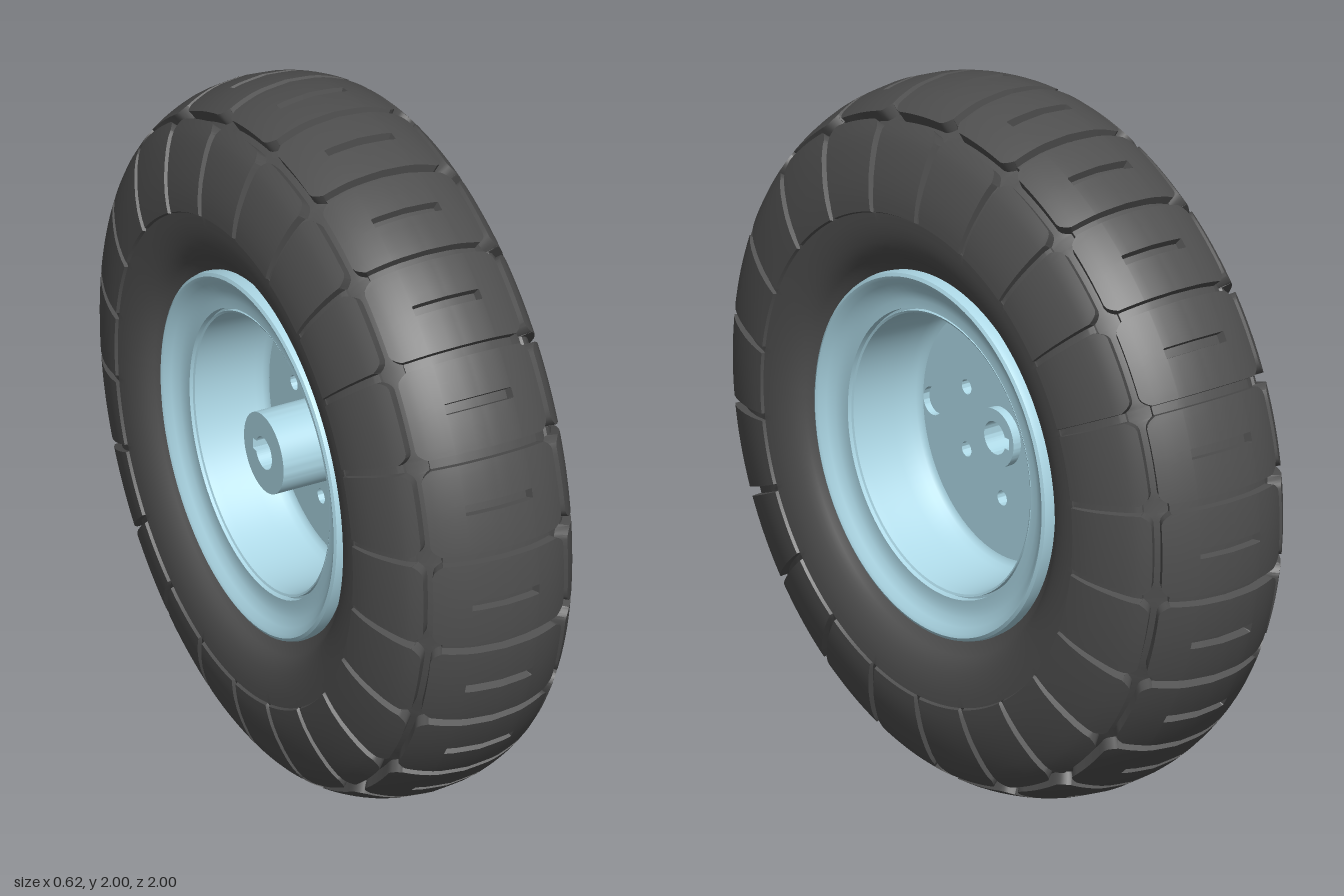
import * as THREE from 'three';
import { toCreasedNormals } from 'three/addons/utils/BufferGeometryUtils.js';

const rubber = new THREE.MeshStandardMaterial({ color: 0x505050 });
const paint = new THREE.MeshStandardMaterial({ color: 0xadd8e6 });
const PITCHES = 22;

function mesh(name, geometry, material) {
  const m = new THREE.Mesh(geometry, material);
  m.name = name;
  return m;
}

// Half section of the tyre as (x, radius), from the crown down to the bead
const section = new THREE.CatmullRomCurve3([
  [0, 1], [0.1, 0.988], [0.2, 0.945], [0.25, 0.895], [0.285, 0.82], [0.305, 0.75], [0.312, 0.69],
  [0.31, 0.65], [0.3, 0.6], [0.28, 0.56], [0.255, 0.535], [0.235, 0.5],
].map(([x, r]) => new THREE.Vector3(x, r, 0)));
section.arcLengthDivisions = 600;
const LENGTH = section.getLength();

// Distances along the section; close pairs make the groove walls
const ROWS = [0.006, 0.04, 0.075, 0.1, 0.103, 0.13, 0.15, 0.17, 0.19, 0.209, 0.212, 0.2225, 0.233, 0.236,
  0.255, 0.275, 0.29, 0.32, 0.36, 0.4, 0.44, 0.47, 0.495, 0.499, 0.53, 0.56, 0.59, 0.61, 0.63, 0.65, 0.67, LENGTH];
// Positions across half a tread pitch, measured from a lateral groove
const HALF = [0.045, 0.053, 0.07, 0.09, 0.12, 0.16, 0.25, 0.35, 0.447, 0.455];
const COLS = [0, ...HALF, 0.5, ...HALF.map((u) => 1 - u).reverse()];

// Groove depth at distance s along the section and distance u from a lateral groove
function grooveDepth(s, u) {
  if (s > 0.497) return 0.008;
  if (s > 0.21 && s < 0.235) return 0.038;
  if (u < 0.05) return s < 0.21 ? 0.026 : THREE.MathUtils.mapLinear(s, 0.235, 0.497, 0.03, 0.01);
  if (u > 0.45 && s < 0.101) return 0.024;
  return 0;
}

// Pulls block edges back near the lateral grooves to round the corners
function roundCorner(s, u) {
  const pull = 0.03 * Math.max(0, 1 - Math.max(0, u - 0.053) / 0.11) ** 2;
  if (s > 0.15 && s < 0.2225) return s - pull * Math.min(1, (s - 0.15) / 0.06);
  if (s > 0.2225 && s < 0.29) return s + pull * Math.min(1, (0.29 - s) / 0.054);
  return s;
}

function tyreGeometry() {
  const rows = [...ROWS.map((s) => -s).reverse(), 0, ...ROWS];
  const columns = PITCHES * COLS.length;
  const positions = [], index = [];
  for (const row of rows) {
    const side = Math.sign(row) || 1, s = Math.abs(row);
    const ring = COLS.map((c) => {
      const u = Math.min(c, 1 - c), t = Math.min(1, roundCorner(s, u) / LENGTH);
      const p = section.getPointAt(t), n = section.getTangentAt(t), d = grooveDepth(s, u);
      return s === 0 ? [0, 1 - d] : [side * (p.x + n.y * d), p.y - n.x * d];
    });
    for (let j = 0; j < columns; j++) {
      const k = j % COLS.length;
      const a = ((Math.floor(j / COLS.length) + COLS[k]) / PITCHES) * Math.PI * 2;
      positions.push(ring[k][0], ring[k][1] * Math.cos(a), ring[k][1] * Math.sin(a));
    }
  }
  for (let i = 0; i < rows.length - 1; i++) {
    for (let j = 0; j < columns; j++) {
      const a = i * columns + j, b = i * columns + ((j + 1) % columns);
      index.push(a, b, a + columns, b, b + columns, a + columns);
    }
  }
  const g = new THREE.BufferGeometry();
  g.setAttribute('position', new THREE.Float32BufferAttribute(positions, 3));
  g.setIndex(index);
  return toCreasedNormals(g, 0.5);
}

// Rim section as (radius, x), one half from the disc edge over the lip to the well
function rimGeometry() {
  const half = [[0.35, 0.02], [0.358, 0.023], [0.367, 0.032], [0.374, 0.05], [0.382, 0.1], [0.389, 0.2],
    [0.392, 0.225], [0.398, 0.228], [0.399, 0.213], [0.406, 0.213], [0.407, 0.233], [0.43, 0.232],
    [0.455, 0.238], [0.478, 0.252], [0.493, 0.267], [0.503, 0.271], [0.512, 0.266], [0.516, 0.25],
    [0.51, 0.2], [0.45, 0.18], [0.43, 0.02]];
  const profile = [
    ...half.map(([r, x]) => new THREE.Vector2(r, -x)),
    ...half.slice().reverse().map(([r, x]) => new THREE.Vector2(r, x)),
  ];
  return toCreasedNormals(new THREE.LatheGeometry(profile, 96).rotateZ(-Math.PI / 2), 0.6);
}

function circlePath(x, y, r) {
  return new THREE.Path().absarc(x, y, r, 0, Math.PI * 2, true);
}

// Shaft bore with a keyway
function borePath() {
  const r = 0.047, w = 0.016, a = Math.asin(w / r);
  const p = new THREE.Path();
  p.moveTo(r * Math.cos(a), w);
  p.absarc(0, 0, r, a, Math.PI * 2 - a, false);
  p.lineTo(0.064, -w);
  p.lineTo(0.064, w);
  p.closePath();
  return p;
}

// Round plate across the axle from x0 to x1
function plate(name, radius, x0, x1, { bolts = false, valve = false } = {}) {
  const shape = new THREE.Shape().absarc(0, 0, radius, 0, Math.PI * 2, false);
  shape.holes.push(borePath());
  if (bolts) {
    for (let i = 0; i < 6; i++) {
      const a = Math.PI / 6 + (i * Math.PI) / 3;
      shape.holes.push(circlePath(0.182 * Math.cos(a), 0.182 * Math.sin(a), 0.021));
    }
  }
  if (valve) shape.holes.push(circlePath(-0.309, 0, 0.04));
  const g = new THREE.ExtrudeGeometry(shape, { depth: x1 - x0, bevelEnabled: false, curveSegments: 48 });
  g.rotateY(Math.PI / 2).translate(x0, 0, 0);
  return mesh(name, toCreasedNormals(g, 0.6), paint);
}

export function createModel() {
  const wheel = new THREE.Group();
  wheel.name = 'wheel';
  wheel.add(
    mesh('tyre', tyreGeometry(), rubber),
    mesh('rim', rimGeometry(), paint),
    plate('outerDisc', 0.351, 0, 0.02, { bolts: true, valve: true }),
    plate('innerDisc', 0.351, -0.02, 0, { bolts: true }),
    plate('hubFlange', 0.225, -0.045, -0.02, { bolts: true }),
    plate('hubBarrel', 0.115, -0.22, -0.045),
    plate('hubBoss', 0.083, 0.02, 0.045),
  );
  wheel.position.y = 1;
  const model = new THREE.Group();
  model.add(wheel);
  return model;
}
